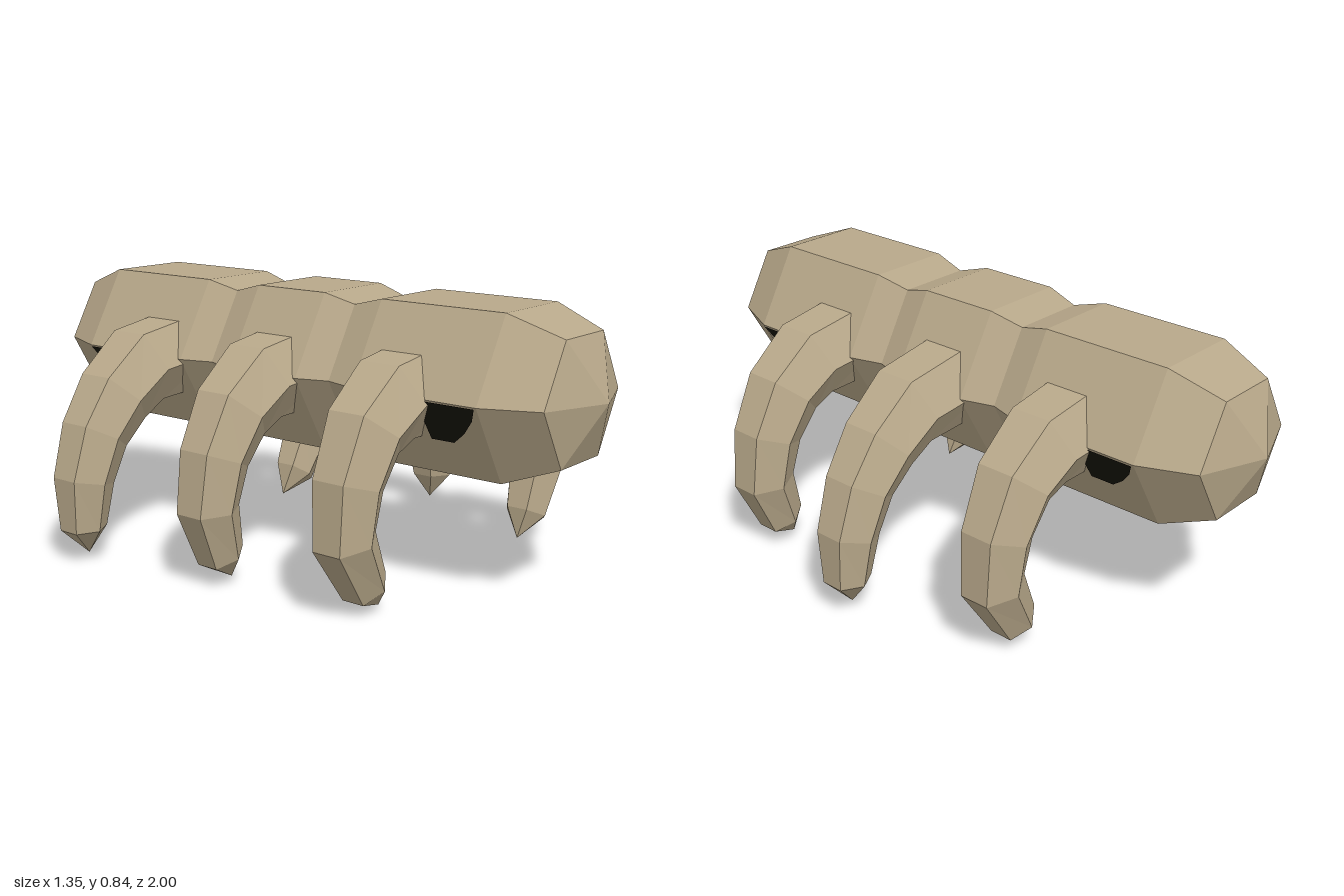
import * as THREE from 'three';

const BODY_X = -0.023, BODY_Y = 0.613, SIDES = 6;

// Skin a list of closed rings into a faceted surface, skipping collapsed triangles
function loft(rings) {
  const pos = [];
  const tri = (a, b, c) => {
    const n = b.clone().sub(a).cross(c.clone().sub(a));
    if (n.length() > 1e-8) for (const p of [a, b, c]) pos.push(p.x, p.y, p.z);
  };
  for (let i = 0; i < rings.length - 1; i++) {
    for (let k = 0; k < SIDES; k++) {
      const j = (k + 1) % SIDES;
      tri(rings[i][k], rings[i + 1][k], rings[i + 1][j]);
      tri(rings[i][k], rings[i + 1][j], rings[i][j]);
    }
  }
  const geo = new THREE.BufferGeometry();
  geo.setAttribute('position', new THREE.Float32BufferAttribute(pos, 3));
  geo.computeVertexNormals();
  return geo;
}

// Hexagon of radius r around centre c, spanned by directions u and v
function hexRing(c, u, v, r) {
  return Array.from({ length: SIDES }, (_, k) => {
    const a = (k / SIDES) * Math.PI * 2;
    return c.clone().addScaledVector(u, r * Math.cos(a)).addScaledVector(v, r * Math.sin(a));
  });
}

const X = new THREE.Vector3(1, 0, 0), Y = new THREE.Vector3(0, 1, 0), Z = new THREE.Vector3(0, 0, 1);

// Segmented body: [z, radius] from front tip to back tip
function bodyGeometry() {
  const R = 0.274;
  const profile = [[1, 0], [0.92, 0.205], [0.755, R], [0.34, R], [0.23, 0.242], [0.13, R],
    [-0.13, R], [-0.235, 0.242], [-0.34, R], [-0.755, R], [-0.92, 0.205], [-1, 0]];
  return loft(profile.map(([z, r]) => hexRing(new THREE.Vector3(0, 0, z), X, Y, r)));
}

// Curved claw leg pointing to +x; spread 0 is tucked in, 1 is splayed out
const TUCKED = [[0.16, 0.612], [0.30, 0.597], [0.405, 0.525], [0.475, 0.39], [0.492, 0.235], [0.405, 0.082], [0.34, 0.008]];
const SPLAYED = [[0.16, 0.612], [0.35, 0.588], [0.46, 0.505], [0.545, 0.40], [0.597, 0.265], [0.61, 0.115], [0.595, 0.03]];
const LEG_RADII = [0.138, 0.132, 0.12, 0.106, 0.094, 0.072, 0];

function legGeometry(spread) {
  const path = TUCKED.map(([x, y], i) => new THREE.Vector3(
    THREE.MathUtils.lerp(x, SPLAYED[i][0], spread),
    THREE.MathUtils.lerp(y, SPLAYED[i][1], spread), 0));
  return loft(path.map((p, i) => {
    const t = i === 0 ? X.clone()
      : path[Math.min(i + 1, path.length - 1)].clone().sub(path[i - 1]).normalize();
    return hexRing(p, Z, new THREE.Vector3(-t.y, t.x, 0), LEG_RADII[i]);
  }));
}

// Dark patch lying on a lower flank of the body, given as [z, height]
function patchGeometry(sx, sz) {
  const outline = [[0.75, 0.61], [0.73, 0.57], [0.69, 0.525], [0.645, 0.49], [0.57, 0.49], [0.56, 0.61]];
  const pts = outline.map(([z, y]) => {
    const drop = y - BODY_Y;
    return [sx * (0.274 + drop * 0.577 + 0.004), drop - 0.001, sz * z];
  });
  const pos = [];
  for (let i = 1; i < pts.length - 1; i++) {
    const order = sx * sz > 0 ? [0, i + 1, i] : [0, i, i + 1];
    for (const k of order) pos.push(...pts[k]);
  }
  const geo = new THREE.BufferGeometry();
  geo.setAttribute('position', new THREE.Float32BufferAttribute(pos, 3));
  geo.computeVertexNormals();
  return geo;
}

export function createModel() {
  const shell = new THREE.MeshStandardMaterial({ color: 0xb8a88a });
  shell.name = 'tan shell';
  const dark = new THREE.MeshStandardMaterial({ color: 0x17160a, side: THREE.DoubleSide });
  dark.name = 'dark patch';

  const model = new THREE.Group();
  model.name = 'crawler';
  const add = (name, geo, mat, parent = model) => {
    const mesh = new THREE.Mesh(geo, mat);
    mesh.name = name;
    parent.add(mesh);
    return mesh;
  };

  // Body with flank patches
  const body = new THREE.Group();
  body.name = 'body';
  body.position.set(BODY_X, BODY_Y, 0);
  model.add(body);
  add('bodyShell', bodyGeometry(), shell, body);
  for (const [sx, side] of [[1, 'Left'], [-1, 'Right']]) {
    for (const [sz, end] of [[1, 'front'], [-1, 'rear']]) {
      add(`${end}${side}Patch`, patchGeometry(sx, sz), dark, body);
    }
  }

  // Three pairs of legs, each with its own spread
  const pairs = [['front', 0.467, 0.3, -0.03], ['middle', -0.003, 1, 0.38], ['rear', -0.473, 0, 0.95]];
  for (const [name, z, left, right] of pairs) {
    add(`${name}LeftLeg`, legGeometry(left), shell).position.z = z;
    const leg = add(`${name}RightLeg`, legGeometry(right), shell);
    leg.position.z = z;
    leg.rotation.y = Math.PI;
  }
  return model;
}
